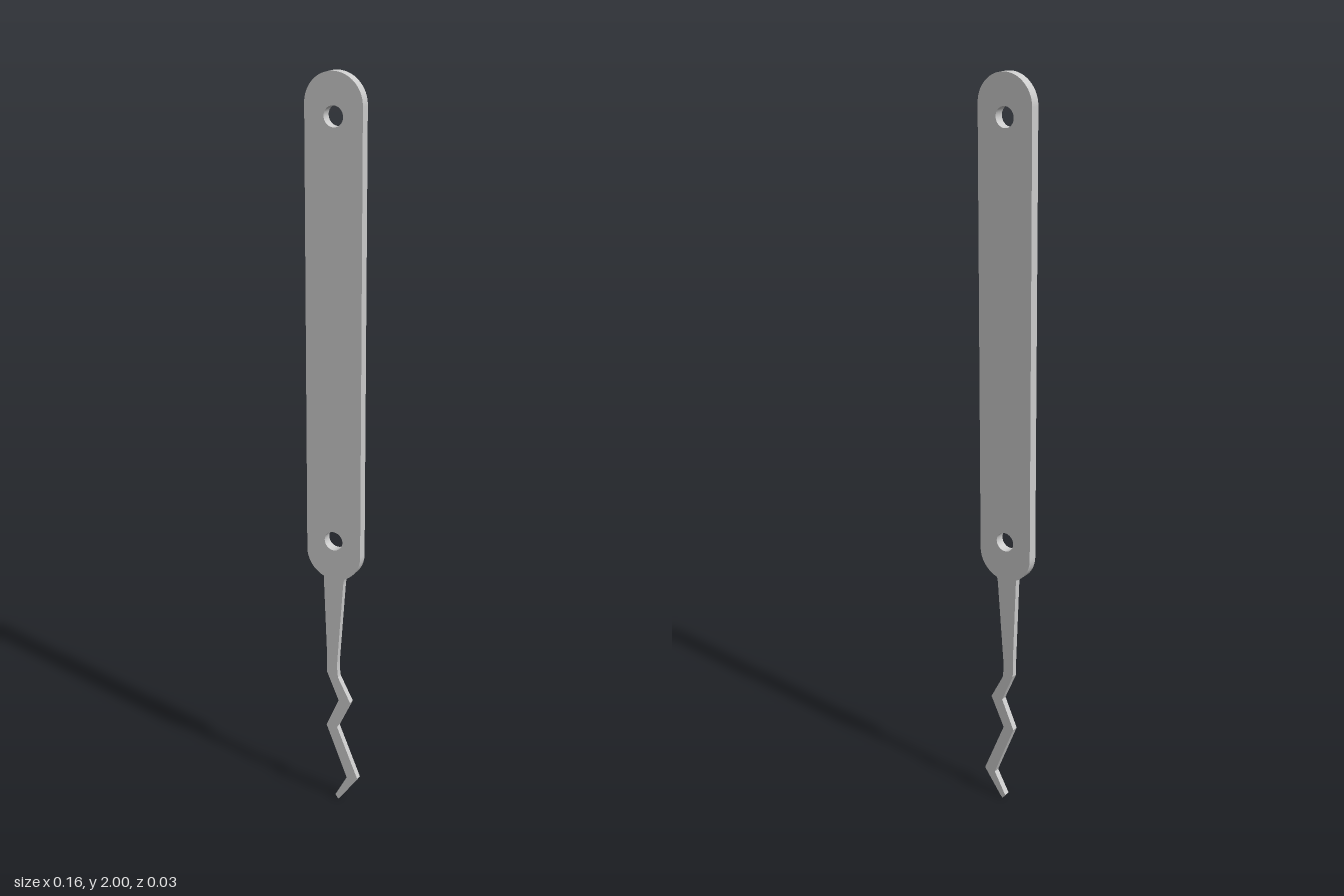
import * as THREE from 'three';

const material = new THREE.MeshStandardMaterial({ color: 0xcccccc });

// Flat plate cut from a shape, centred on z = 0
function plate(name, shape, thickness) {
  const geometry = new THREE.ExtrudeGeometry(shape, {
    depth: thickness, bevelEnabled: false, curveSegments: 32,
  });
  geometry.translate(0, 0, -thickness / 2);
  const mesh = new THREE.Mesh(geometry, material);
  mesh.name = name;
  return mesh;
}

export function createModel() {
  const group = new THREE.Group();
  group.name = 'zigzagPick';

  // Handle: a slot-shaped plate with a hole near each end
  const r = 0.078, top = 2 - r, bottom = 0.68 + r;
  const handle = new THREE.Shape();
  handle.moveTo(r, bottom);
  handle.lineTo(r, top);
  handle.absarc(0, top, r, 0, Math.PI, false);
  handle.lineTo(-r, bottom);
  handle.absarc(0, bottom, r, Math.PI, Math.PI * 2, false);
  for (const y of [1.894, 0.791]) {
    handle.holes.push(new THREE.Path().absarc(0, y, 0.026, 0, Math.PI * 2, true));
  }
  group.add(plate('handle', handle, 0.027));

  // Blade: tapering shank, then a zigzag down to a narrow hooked tip
  const blade = new THREE.Shape();
  blade.moveTo(0.04, 0.7);
  blade.quadraticCurveTo(0.028, 0.69, 0.026, 0.665);
  blade.lineTo(0.009, 0.44);
  blade.quadraticCurveTo(0.007, 0.41, 0.011, 0.385);
  const outline = [
    [0.048, 0.315], [0.008, 0.23], [0.071, 0.08], [0.018, 0.006], [0.012, 0],
    [0.003, 0.012], [0.038, 0.077], [-0.024, 0.23], [0.013, 0.315],
    [-0.022, 0.395], [-0.022, 0.44], [-0.032, 0.69], [-0.032, 0.7],
  ];
  for (const [x, y] of outline) blade.lineTo(x, y);
  blade.closePath();
  group.add(plate('blade', blade, 0.017));

  return group;
}
